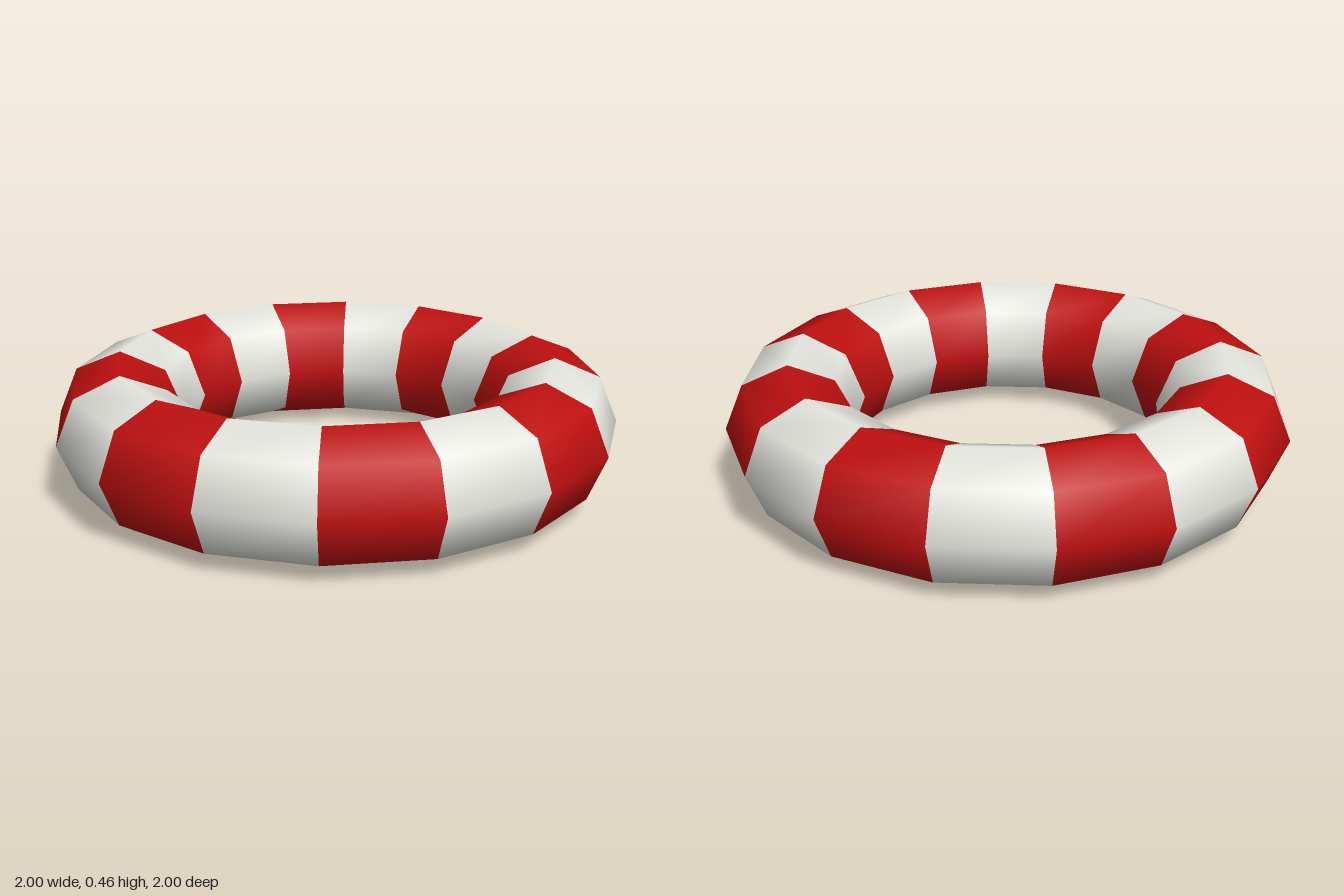
import * as THREE from 'three';

const RING = 0.7725, TUBE = 0.2275, SIDES = 8, SEGMENTS = 16;

export function createModel() {
  const model = new THREE.Group();
  model.name = 'stripedRing';

  const white = new THREE.MeshStandardMaterial({ color: 0xe8e8e2 });
  white.name = 'white';
  const red = new THREE.MeshStandardMaterial({ color: 0xc01010 });
  red.name = 'red';

  // Low-sided inflated ring lying flat on the ground
  const ring = new THREE.TorusGeometry(RING, TUBE, SIDES, SEGMENTS);
  ring.rotateX(Math.PI / 2);
  ring.translate(0, TUBE, 0);

  // Every other segment of the ring belongs to the same set of stripes
  const addStripes = (name, material, parity) => {
    const indices = Array.from(ring.index.array)
      .filter((_, n) => Math.floor(n / 6) % SEGMENTS % 2 === parity);
    const geometry = ring.clone();
    geometry.clearGroups();
    geometry.setIndex(indices);
    const mesh = new THREE.Mesh(geometry, material);
    mesh.name = name;
    model.add(mesh);
  };
  addStripes('whiteStripes', white, 0);
  addStripes('redStripes', red, 1);

  return model;
}
